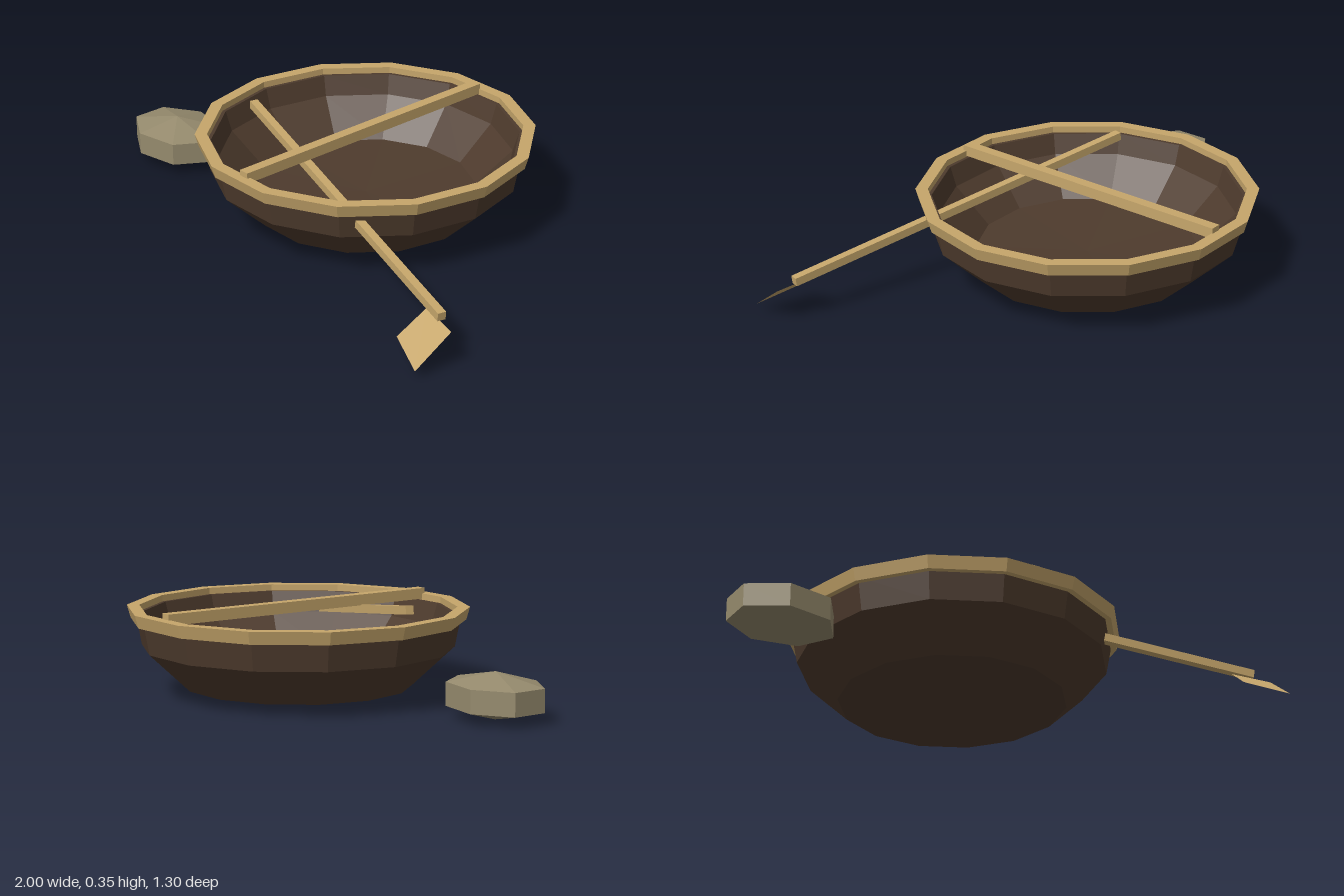
import * as THREE from 'three';

const SIDES = 14;

export function createModel() {
  const model = new THREE.Group();
  model.name = 'roundBoat';
  const material = (name, color) => {
    const m = new THREE.MeshStandardMaterial({ color, flatShading: true });
    m.name = name;
    return m;
  };
  const hide = material('dark hide', 0x4e3b2d);
  const wood = material('pale wood', 0xc6a66b);
  const rock = material('grey stone', 0x958a6d);

  const add = (parent, name, geometry, mat) => {
    const mesh = new THREE.Mesh(geometry, mat);
    mesh.name = name;
    parent.add(mesh);
    return mesh;
  };
  const ring = (points) => new THREE.LatheGeometry(
    points.map(([r, y]) => new THREE.Vector2(r, y)), SIDES, Math.PI / 2);

  const boat = new THREE.Group();
  boat.name = 'boat';
  boat.position.set(-0.018, 0, -0.048);
  model.add(boat);

  // Hull: outer skin upwards, then the lining back down to the floor
  add(boat, 'hull', ring([
    [0, 0.005], [0.415, 0.03], [0.565, 0.17], [0.588, 0.29],
    [0.56, 0.29], [0.537, 0.215], [0.405, 0.085], [0, 0.065],
  ]), hide);

  // Rim: flat-topped hoop that tapers inwards below
  add(boat, 'rim', ring([
    [0.573, 0.268], [0.605, 0.268], [0.618, 0.314], [0.573, 0.314], [0.573, 0.268],
  ]), wood);

  // Crossbar resting over the rim
  const bar = add(boat, 'crossbar', new THREE.BoxGeometry(0.04, 0.04, 1.135), wood);
  bar.position.set(0, 0.314, 0.004);

  // Paddle shaft leaning through the boat's side
  const paddle = new THREE.Group();
  paddle.name = 'paddle';
  model.add(paddle);
  const start = new THREE.Vector3(-0.435, 0.332, 0.132);
  const end = new THREE.Vector3(0.935, 0.154, 0.49);
  const shaft = add(paddle, 'paddleShaft',
    new THREE.BoxGeometry(0.03, 0.03, start.distanceTo(end)), wood);
  shaft.position.copy(start).add(end).multiplyScalar(0.5);
  shaft.lookAt(end);

  // Paddle blade: a thin quad
  const bladeGeometry = new THREE.BufferGeometry();
  bladeGeometry.setAttribute('position', new THREE.Float32BufferAttribute([
    0.85, 0.145, 0.475, 0.82, 0.065, 0.58, 0.975, 0.03, 0.645, 1.0, 0.133, 0.51,
  ], 3));
  bladeGeometry.setIndex([0, 1, 2, 0, 2, 3]);
  bladeGeometry.computeVertexNormals();
  const bladeWood = wood.clone();
  bladeWood.side = THREE.DoubleSide;
  add(paddle, 'paddleBlade', bladeGeometry, bladeWood);

  // Faceted stone beside the boat
  const stone = add(model, 'stone', new THREE.SphereGeometry(1, 7, 3), rock);
  stone.scale.set(0.225, 0.083, 0.175);
  stone.rotation.y = Math.PI;
  stone.position.set(-0.825, 0.083, 0.192);

  return model;
}
